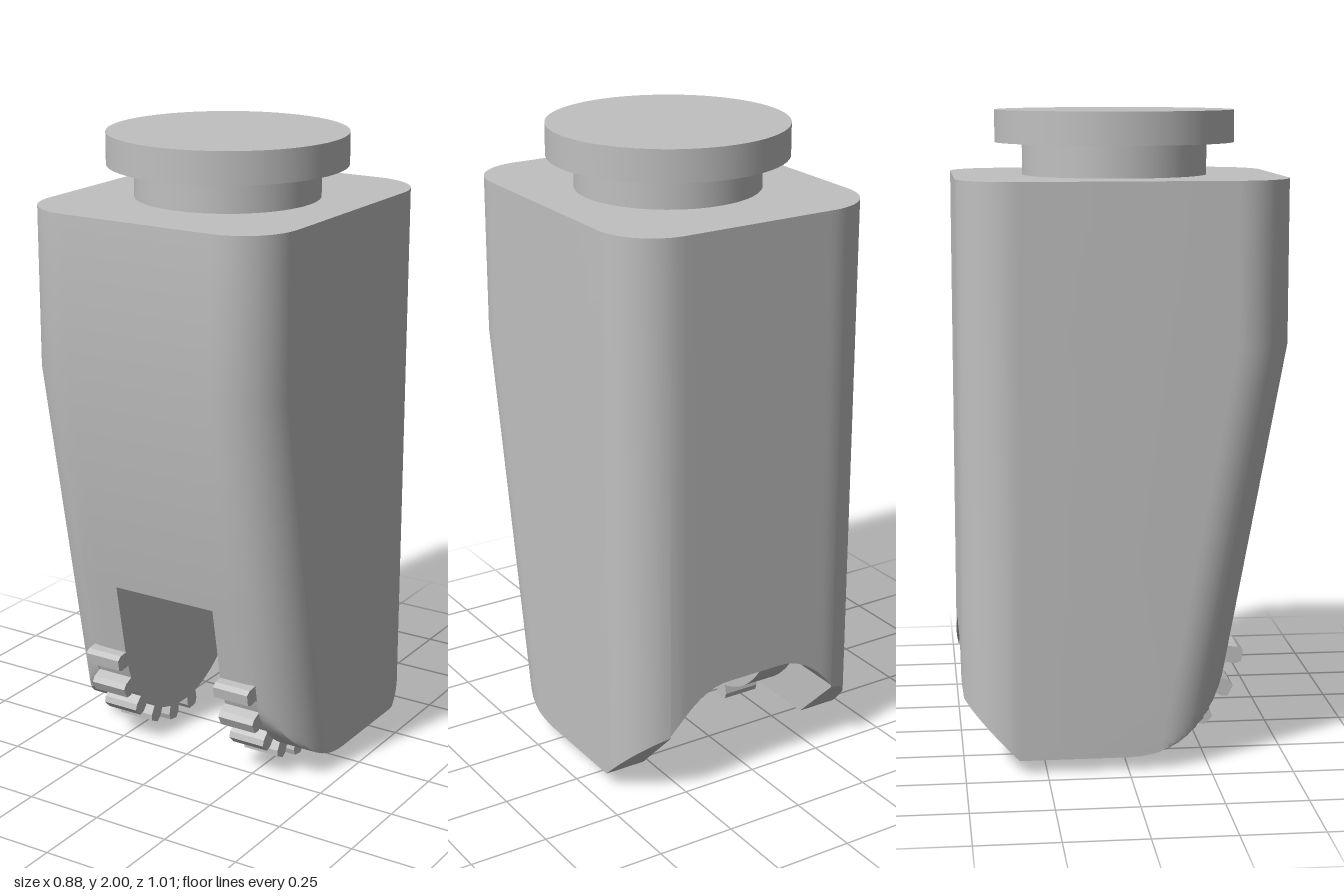
import * as THREE from 'three';
import { toCreasedNormals } from 'three/addons/utils/BufferGeometryUtils.js';

const W = 0.44, D = 0.505, R = 0.18, TOP = 1.8, BASE = 0.045;
const SLOT = 0.18, BAY = 0.305, CEIL = 0.59;     // front slot, inner bay, bay ceiling
const AXLE = 0.375, NOSE = 0.33;                 // wheel centre height, nose radius

// How far the rounded vertical corners pull the front and back in at x
const inset = (x) => {
  const d = Math.max(0, Math.abs(x) - (W - R));
  return R - Math.sqrt(Math.max(0, R * R - d * d));
};
const frontZ = (x, y) => D - 0.184 * Math.max(0, 1.3 - y) - inset(x);
const backZ = (x) => -D + inset(x);
// Arched notch in the back wall, and the curved inside of that wall
const archY = (x) => 0.35 - 0.14 * (Math.max(0, Math.abs(x) - 0.1) / 0.21) ** 2;
const innerZ = (x) => -Math.sqrt(0.16 - x * x);

// Side profiles [z, y], counter-clockwise with z to the right
function solidProfile(x) {
  const b = backZ(x), pts = [];
  pts.push([b, TOP], [b, BASE + Math.max(0, -0.335 - b)], [Math.max(-0.335, b), BASE]);
  for (let i = 0; i <= 14; i++) {
    const a = (i / 14) * THREE.MathUtils.degToRad(79.6);
    const y = AXLE - NOSE * Math.cos(a);
    pts.push([Math.min(NOSE * Math.sin(a), frontZ(x, y)), y]);
  }
  pts.push([frontZ(x, 1.3), 1.3], [frontZ(x, TOP), TOP]);
  return pts;
}
function hollowProfile(x, slotted) {
  const pts = [[backZ(x), TOP], [backZ(x), archY(x)], [innerZ(x), archY(x)], [innerZ(x), CEIL]];
  if (!slotted) pts.push([0.25, CEIL], [0.25, 0.35], [frontZ(x, 0.35), 0.35]);
  pts.push([frontZ(x, CEIL), CEIL], [frontZ(x, 1.3), 1.3], [frontZ(x, TOP), TOP]);
  return pts;
}

// Loft a profile across a list of x stations and cap both ends
function loft(out, xs, profile) {
  const loops = xs.map((x) => profile(x).map(([z, y]) => [x, y, z]));
  const n = loops[0].length;
  for (let s = 0; s < xs.length - 1; s++) {
    for (let i = 0; i < n; i++) {
      const j = (i + 1) % n, p = loops[s], q = loops[s + 1];
      out.push(...p[i], ...q[i], ...p[j], ...p[j], ...q[i], ...q[j]);
    }
  }
  [loops[0], loops[loops.length - 1]].forEach((loop, end) => {
    const flat = loop.map((p) => new THREE.Vector2(p[2], p[1]));
    for (const [a, b, c] of THREE.ShapeUtils.triangulateShape(flat, [])) {
      const area = (flat[b].x - flat[a].x) * (flat[c].y - flat[a].y)
        - (flat[b].y - flat[a].y) * (flat[c].x - flat[a].x);
      const ccw = area > 0, wantCcw = end === 0;
      out.push(...loop[a], ...(ccw === wantCcw ? [...loop[b], ...loop[c]] : [...loop[c], ...loop[b]]));
    }
  });
}

function bodyGeometry() {
  const out = [];
  const between = (a, b, n) => Array.from({ length: n + 1 }, (_, i) => a + ((b - a) * i) / n);
  // Stations round the corner, evenly spaced by angle
  const start = Math.asin((BAY - (W - R)) / R);
  const corner = between(start, Math.PI / 2, 12).map((a) => W - R + R * Math.sin(a));
  const bay = [...between(SLOT, W - R, 4), 0.283, BAY];
  const mirror = (xs) => xs.map((x) => -x).reverse();
  for (const xs of [corner, mirror(corner)]) loft(out, xs, solidProfile);
  for (const xs of [bay, mirror(bay)]) loft(out, xs, (x) => hollowProfile(x, false));
  loft(out, between(-SLOT, SLOT, 12), (x) => hollowProfile(x, true));
  const g = new THREE.BufferGeometry();
  g.setAttribute('position', new THREE.Float32BufferAttribute(out, 3));
  return toCreasedNormals(g, 0.55);
}

// Disc with six teeth on its lower front
function wheelGeometry() {
  const shape = new THREE.Shape(), step = Math.PI / 10, root = 0.326;
  const put = (a, r, first) => shape[first ? 'moveTo' : 'lineTo'](r * Math.sin(a), -r * Math.cos(a));
  for (let i = 0; i < 20; i++) {
    const a = (i - 0.5) * step;
    put(a - 0.5 * step, root, i === 0);
    put(a - 0.25 * step, root);
    if (i < 6) {
      put(a - 0.24 * step, 0.358);
      put(a - 0.15 * step, 0.375);
      put(a + 0.15 * step, 0.375);
      put(a + 0.24 * step, 0.358);
    }
    put(a + 0.25 * step, root);
  }
  const g = new THREE.ExtrudeGeometry(shape, { depth: BAY - SLOT, bevelEnabled: false });
  g.rotateY(-Math.PI / 2);
  g.translate((BAY - SLOT) / 2, 0, 0);
  return toCreasedNormals(g, 0.45);
}

export function createModel() {
  const group = new THREE.Group();
  const grey = new THREE.MeshStandardMaterial({ color: 0xc0c0c0 });
  grey.name = 'plain grey';
  const add = (name, geometry, x, y) => {
    const mesh = new THREE.Mesh(geometry, grey);
    mesh.name = name;
    mesh.position.set(x, y, 0);
    group.add(mesh);
  };

  add('body', bodyGeometry(), 0, 0);

  // Round stud on top
  add('neck', new THREE.CylinderGeometry(0.288, 0.288, 0.1, 64), 0, 1.85);
  add('topDisc', new THREE.CylinderGeometry(0.373, 0.373, 0.1, 64), 0, 1.95);

  // Toothed wheels either side of the slot
  const wheel = wheelGeometry();
  add('leftWheel', wheel, (SLOT + BAY) / 2, AXLE);
  add('rightWheel', wheel, -(SLOT + BAY) / 2, AXLE);
  return group;
}
